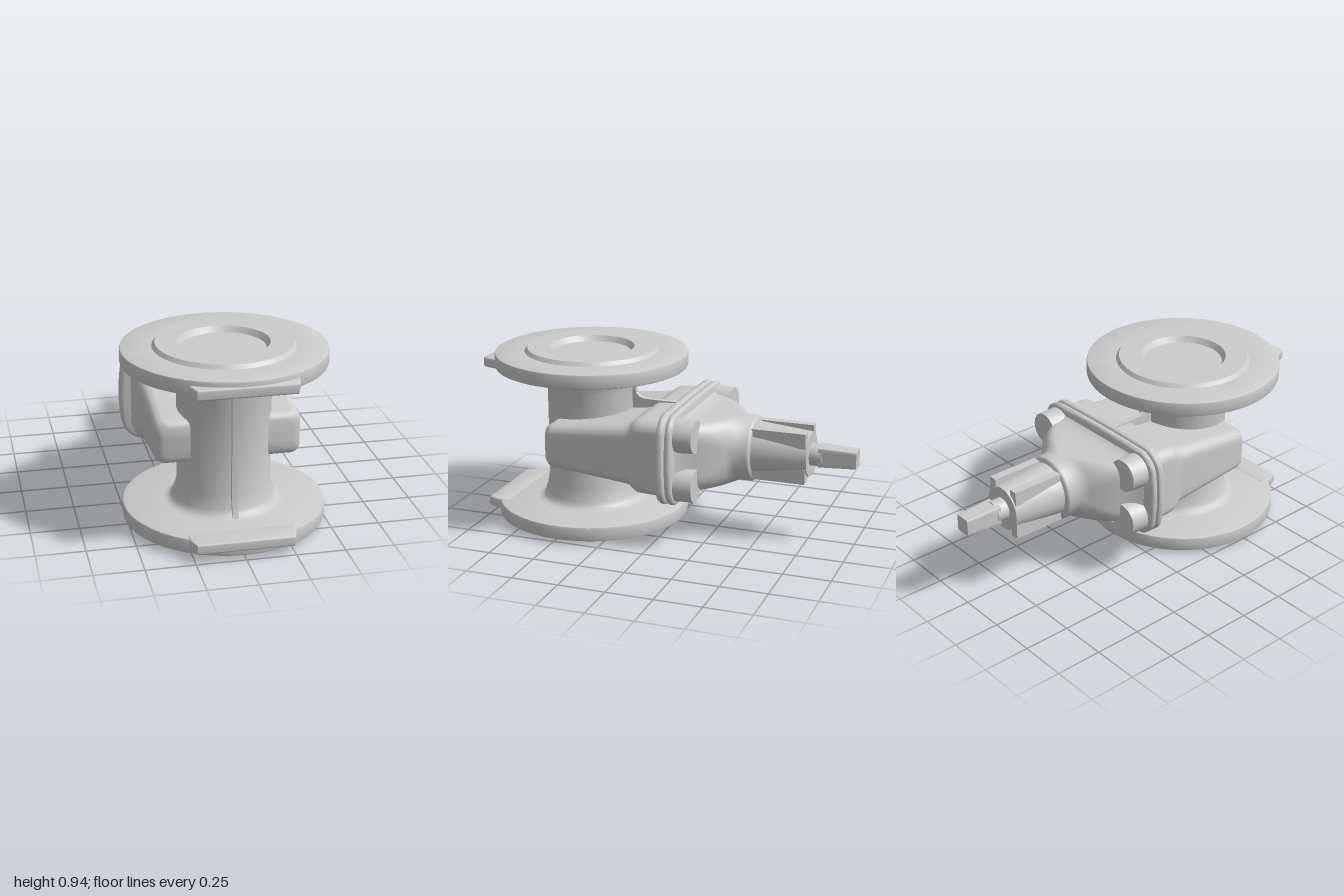
import * as THREE from 'three';
import { toCreasedNormals } from 'three/addons/utils/BufferGeometryUtils.js';

const MID = 0.4725;      // height of the stem axis
const PIPE_Z = 0.475;    // depth of the pipe axis
const mat = new THREE.MeshStandardMaterial({ color: 0xcccccc, roughness: 0.6 });

function part(parent, name, geo, crease = 0.6) {
  const mesh = new THREE.Mesh(toCreasedNormals(geo, crease), mat);
  mesh.name = name;
  parent.add(mesh);
  return mesh;
}

// Rounded rectangle outline, counter-clockwise, with optionally bulging sides
function ring(hw, hh, r, bulge) {
  const pts = [];
  const centres = [[1, 1], [-1, 1], [-1, -1], [1, -1]];
  const n = 10;
  const side = 6;
  centres.forEach(([sx, sy], k) => {
    for (let i = 0; i <= n; i++) {
      const a = (k + i / n) * Math.PI / 2;
      pts.push([sx * (hw - r) + r * Math.cos(a), sy * (hh - r) + r * Math.sin(a)]);
    }
    // extra points along the straight side so that it can bulge
    const p = pts[pts.length - 1];
    const [nx, ny] = centres[(k + 1) % 4];
    const a = (k + 1) * Math.PI / 2;
    const q = [nx * (hw - r) + r * Math.cos(a), ny * (hh - r) + r * Math.sin(a)];
    for (let i = 1; i < side; i++) {
      pts.push([p[0] + (q[0] - p[0]) * i / side, p[1] + (q[1] - p[1]) * i / side]);
    }
  });
  return pts.map(([x, y]) => [
    x * (1 + bulge * (1 - (y / hh) ** 2)),
    y * (1 + bulge * 0.5 * (1 - (x / hw) ** 2)),
  ]);
}

// Closed loft through sections [z, halfWidth, halfHeight, cornerRadius], front to back
function loft(sections, bulge = 0) {
  const pos = [];
  const index = [];
  let n = 0;
  for (const [z, hw, hh, r] of sections) {
    const pts = ring(hw, hh, r, bulge);
    n = pts.length;
    for (const [x, y] of pts) pos.push(x, y + MID, z);
  }
  const last = sections.length - 1;
  for (let i = 0; i < last; i++) {
    for (let j = 0; j < n; j++) {
      const a = i * n + j;
      const b = i * n + (j + 1) % n;
      index.push(a, a + n, b, b, a + n, b + n);
    }
  }
  const c = pos.length / 3;
  pos.push(0, MID, sections[0][0], 0, MID, sections[last][0]);
  for (let j = 0; j < n; j++) {
    const k = (j + 1) % n;
    index.push(c, j, k, c + 1, last * n + k, last * n + j);
  }
  const geo = new THREE.BufferGeometry();
  geo.setAttribute('position', new THREE.Float32BufferAttribute(pos, 3));
  geo.setIndex(index);
  return geo;
}

// Thin upright plate at x = 0 from an outline of [z, y] points
function plate(points, width) {
  const shape = new THREE.Shape(points.map(([z, y]) => new THREE.Vector2(z, y)));
  const geo = new THREE.ExtrudeGeometry(shape, { depth: width, bevelEnabled: false });
  return geo.rotateY(-Math.PI / 2).translate(width / 2, 0, 0);
}

// Cylinder along z from z0 (front) to z1 (back)
function zCylinder(r0, r1, z0, z1, seg = 48) {
  return new THREE.CylinderGeometry(r0, r1, z0 - z1, seg).rotateX(Math.PI / 2)
    .translate(0, MID, (z0 + z1) / 2);
}

export function createModel() {
  const model = new THREE.Group();
  model.name = 'gateValve';

  // Pipe barrel with both flanges, raised faces and shallow closed bores
  const half = [
    [0, 0.03], [0.21, 0.03], [0.23, 0], [0.345, 0], [0.36, 0.02], [0.508, 0.02],
    [0.517, 0.024], [0.52, 0.034], [0.52, 0.088], [0.517, 0.097], [0.508, 0.101],
    [0.31, 0.101], [0.285, 0.106], [0.268, 0.12], [0.26, 0.14], [0.24, 0.21],
  ];
  const profile = [...half, ...half.slice().reverse().map(([r, y]) => [r, 2 * MID - y])]
    .map(([r, y]) => new THREE.Vector2(r, y));
  part(model, 'flangedPipe', new THREE.LatheGeometry(profile, 96).translate(0, 0, PIPE_Z));

  // Support pads on the front rim of each flange
  const padShape = new THREE.Shape([
    [-0.26, 0.88], [0.26, 0.88], [0.255, 0.94], [0.235, 0.99], [-0.235, 0.99], [-0.255, 0.94],
  ].map(([x, z]) => new THREE.Vector2(x, z)));
  for (const [name, y] of [['lowerPad', 0.0755], ['upperPad', 2 * MID - 0.0755]]) {
    const geo = new THREE.ExtrudeGeometry(padShape, {
      depth: 0.035, bevelThickness: 0.01, bevelSize: 0.01, bevelSegments: 4,
    });
    part(model, name, geo.rotateX(Math.PI / 2).translate(0, y + 0.0175, 0));
  }

  // Casting seam down the front of the barrel
  part(model, 'frontSeam', plate([
    [0.66, 0.1], [0.765, 0.1], [0.75, 0.14], [0.735, 0.21], [0.735, 0.735],
    [0.75, 0.805], [0.765, 0.845], [0.66, 0.845],
  ], 0.03));

  // Seams between barrel, neck and flanges, above and below
  const seam = [
    [0.28, 0.845], [0.195, 0.845], [0.21, 0.82], [0.22, 0.74], [0.215, 0.71],
    [0.195, 0.69], [0.165, 0.682], [-0.05, 0.68], [-0.05, 0.6], [0.28, 0.6],
  ];
  part(model, 'upperSeam', plate(seam, 0.03));
  part(model, 'lowerSeam', plate(seam.map(([z, y]) => [z, 2 * MID - y]).reverse(), 0.03));

  // Gate housing: flat wedge crossing the pipe, stepping out to the bonnet neck
  part(model, 'gateHousing', loft([
    [0.61, 0.33, 0.08, 0.05], [0.602, 0.352, 0.1, 0.05], [0.585, 0.368, 0.112, 0.05],
    [0.56, 0.375, 0.118, 0.05], [0.15, 0.375, 0.163, 0.06], [0.125, 0.376, 0.168, 0.06],
    [0.105, 0.38, 0.185, 0.06], [0.09, 0.385, 0.195, 0.06], [0.06, 0.388, 0.2, 0.06],
    [-0.07, 0.392, 0.204, 0.06],
  ]), 0.9);

  // Pair of bulged lips where body and bonnet meet
  for (const [name, z0, z1] of [['bodyLip', -0.045, -0.09], ['bonnetLip', -0.093, -0.133]]) {
    part(model, name, loft([
      [z0, 0.4, 0.225, 0.08], [z0 - 0.005, 0.412, 0.236, 0.09], [z0 - 0.015, 0.418, 0.241, 0.09],
      [z1 + 0.01, 0.418, 0.241, 0.09], [z1 + 0.003, 0.412, 0.236, 0.09], [z1, 0.4, 0.225, 0.08],
    ], 0.07), 0.9);
  }

  // Bonnet dome narrowing to the round collar
  part(model, 'bonnet', loft([
    [-0.12, 0.39, 0.21, 0.08], [-0.145, 0.365, 0.195, 0.08], [-0.17, 0.34, 0.188, 0.08],
    [-0.225, 0.305, 0.184, 0.085], [-0.27, 0.275, 0.182, 0.095], [-0.31, 0.243, 0.18, 0.11],
    [-0.35, 0.207, 0.178, 0.14], [-0.385, 0.176, 0.176, 0.174],
    [-0.45, 0.175, 0.175, 0.174], [-0.458, 0.172, 0.172, 0.171], [-0.464, 0.165, 0.165, 0.164],
  ]), 0.9);

  // Bolt bosses at the four corners
  for (const sx of [-1, 1]) {
    for (const sy of [-1, 1]) {
      const boss = part(model, 'boltBoss', zCylinder(0.092, 0.086, -0.11, -0.23, 40));
      boss.position.set(sx * 0.322, sy * 0.132, 0);
    }
  }

  // Stem housing with four ribs
  part(model, 'stemHousing', zCylinder(0.145, 0.118, -0.45, -0.755));
  for (const sx of [-1, 1]) {
    for (const sy of [-1, 1]) {
      const geo = new THREE.BoxGeometry(0.045, 0.08, 0.295);
      const rib = part(model, 'stemHousingRib', geo);
      rib.position.set(sx * 0.085, MID + sy * 0.096, -0.6);
    }
  }

  // Stem collar and tapered square drive
  part(model, 'stemCollar', zCylinder(0.06, 0.058, -0.75, -0.82, 32));
  part(model, 'squareDrive', loft([
    [-0.8, 0.052, 0.052, 0.003], [-1, 0.042, 0.044, 0.003],
  ]));

  return model;
}
